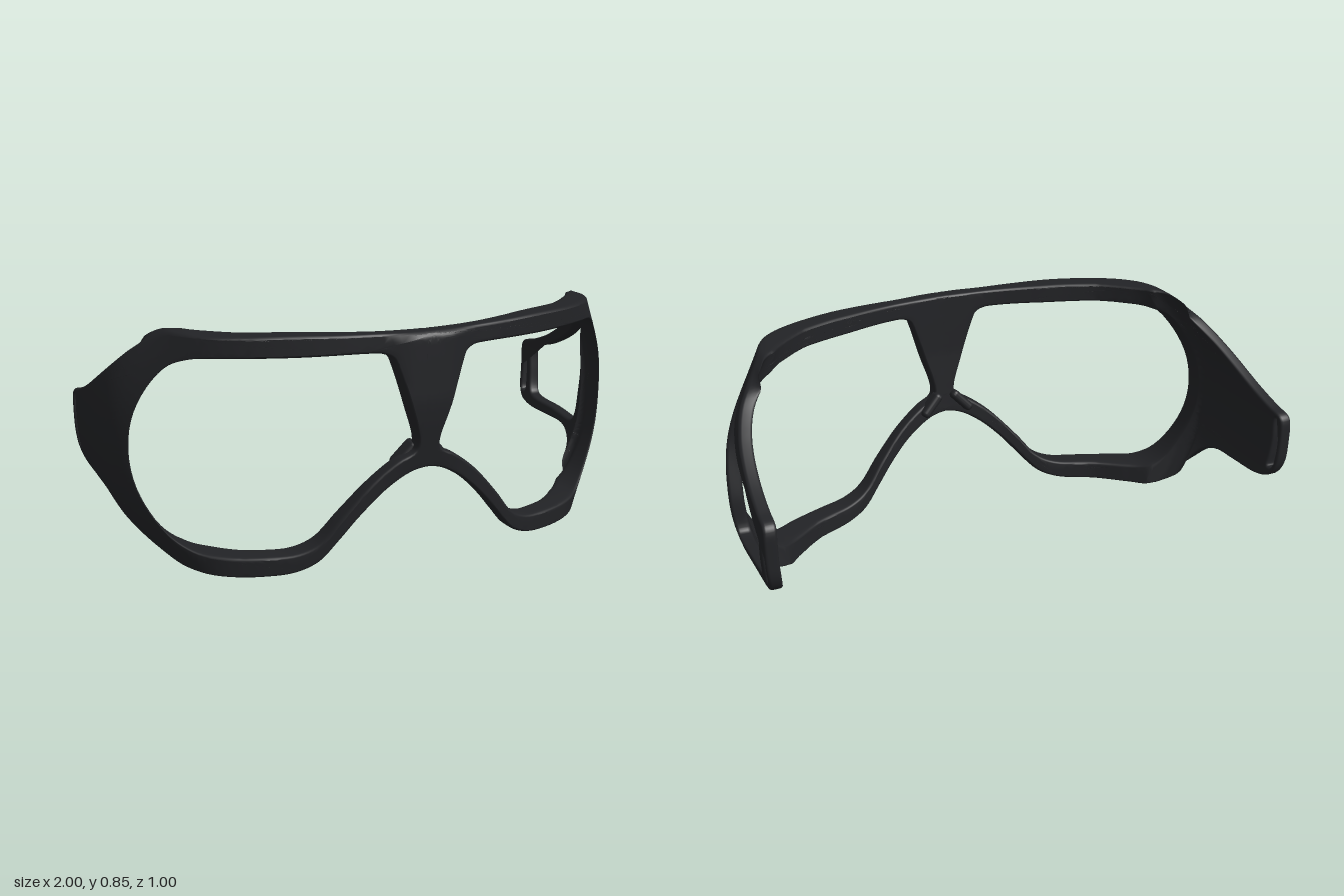
import * as THREE from 'three';
import { mergeVertices } from 'three/addons/utils/BufferGeometryUtils.js';
import { RoundedBoxGeometry } from 'three/addons/geometries/RoundedBoxGeometry.js';

const { smoothstep, lerp } = THREE.MathUtils;

// Plan curve of the outer face, wrapping from arm tip to arm tip
const half = [[0.2, 0.465], [0.4, 0.435], [0.6, 0.375], [0.75, 0.3], [0.88, 0.19],
  [0.96, 0.08], [0.99, 0], [1, -0.12], [1, -0.3], [1, -0.5]];
const plan = new THREE.CatmullRomCurve3([
  ...half.map(([x, z]) => new THREE.Vector3(-x, 0, z)).reverse(),
  new THREE.Vector3(0, 0, 0.47),
  ...half.map(([x, z]) => new THREE.Vector3(x, 0, z)),
], false, 'centripetal');
plan.arcLengthDivisions = 800;
const L = plan.getLength() / 2;
const along = (u) => THREE.MathUtils.clamp(0.5 + u / (2 * L), 0, 1);

// Distance along the curve at which x (rising) or z (falling) takes a value
function find(test) {
  let lo = 0, hi = L;
  for (let i = 0; i < 30; i++) {
    const mid = (lo + hi) / 2;
    if (test(plan.getPointAt(along(mid)))) lo = mid; else hi = mid;
  }
  return lo;
}
const byX = (list) => list.map(([x, y]) => [find((p) => p.x < x), y]);
const byZ = (list) => list.map(([z, y]) => [find((p) => p.z > z), y]);

// Smooth closed outline through a few points, always counter-clockwise
function loop(list) {
  const c = new THREE.CatmullRomCurve3(list.map(([u, y]) => new THREE.Vector3(u, y, 0)), true, 'centripetal');
  const pts = c.getPoints(list.length * 5).slice(0, -1).map((p) => new THREE.Vector2(p.x, p.y));
  return THREE.ShapeUtils.isClockWise(pts) ? pts.reverse() : pts;
}

// Halve the longest edge of each triangle until all are short enough to bend
function refine(geo, max, sign) {
  const a = geo.attributes.position, out = [], stack = [];
  const v = (i) => new THREE.Vector3().fromBufferAttribute(a, i);
  for (let i = 0; i < a.count; i += 3) stack.push([v(i), v(i + 1), v(i + 2)]);
  while (stack.length) {
    const t = stack.pop();
    const d = [0, 1, 2].map((i) => t[i].distanceTo(t[(i + 1) % 3]));
    const k = d.indexOf(Math.max(...d));
    if (d[k] <= max) {
      if (sign < 0) t.reverse(); // keeps faces outward once mirrored
      t.forEach((p) => out.push(p.x, p.y, p.z));
      continue;
    }
    const p = t[k], q = t[(k + 1) % 3], r = t[(k + 2) % 3];
    const m = p.clone().add(q).multiplyScalar(0.5);
    stack.push([p, m, r], [m, q, r]);
  }
  return new THREE.BufferGeometry().setAttribute('position', new THREE.Float32BufferAttribute(out, 3));
}

// Wall depth along the curve: slim bridge, deep outer corners, thin arms
const thick = [
  ...byX([[0, 0.045], [0.2, 0.06], [0.4, 0.088], [0.6, 0.1], [0.7, 0.13], [0.8, 0.145]]),
  ...byZ([[0.15, 0.085], [0.08, 0.068], [0, 0.052], [-0.1, 0.046], [-0.5, 0.045]])];
function thickness(u) {
  for (let i = 1; i < thick.length; i++) {
    const [a, ta] = thick[i - 1], [b, tb] = thick[i];
    if (u <= b) return lerp(ta, tb, (u - a) / (b - a));
  }
  return 0.045;
}

const DEPTH = 0.09, BEVEL = 0.02;

// Wrap a flat half round the plan curve, mirrored for the right side
function wrap(geo, sign) {
  const a = geo.attributes.position;
  for (let i = 0; i < a.count; i++) {
    const u = a.getX(i), y = a.getY(i);
    const w = (a.getZ(i) + BEVEL) / DEPTH - 1;
    const p = plan.getPointAt(along(u)), t = plan.getTangentAt(along(u));
    // walls run straight back at the front and square to the arms at the sides
    const n = new THREE.Vector3(-t.z, 0, t.x)
      .lerp(new THREE.Vector3(0, 0, 1), smoothstep(p.z, -0.03, 0.1)).normalize();
    // sides tuck in towards top and bottom, lower rim leans back
    const tuck = 1.45 * Math.abs(y - 0.43) ** 2.5 * (1 - smoothstep(p.z, 0, 0.4));
    const lean = 0.06 * Math.min(0, y - 0.6) * smoothstep(p.z, 0, 0.3);
    // bridge stands proud of the rim
    const bulge = 0.028 * (1 - smoothstep(Math.abs(u), 0.05, 0.2))
      * smoothstep(y, 0.25, 0.6) * (1 - smoothstep(y, 0.81, 0.86));
    const off = w * thickness(Math.abs(u)) + bulge * (1 + w);
    a.setXYZ(i, sign * (p.x + n.x * off - tuck), y, p.z + n.z * off + lean);
  }
  return geo;
}

export function createModel() {
  const group = new THREE.Group();
  group.name = 'goggleFrame';
  const material = new THREE.MeshStandardMaterial({ color: 0x222326 });

  // Outline of one half; it runs a little past the centre so the halves interlock
  const outline = loop([
    [-0.03, 0.834],
    ...byX([[0, 0.835], [0.15, 0.836], [0.3, 0.84], [0.45, 0.845], [0.6, 0.845], [0.76, 0.845]]),
    ...byZ([[0.24, 0.845], [0.15, 0.836], [0.08, 0.808], [0.01, 0.765], [-0.06, 0.71], [-0.16, 0.645],
      [-0.3, 0.573], [-0.42, 0.53], [-0.48, 0.515], [-0.496, 0.495], [-0.5, 0.4], [-0.495, 0.32],
      [-0.465, 0.27], [-0.4, 0.247], [-0.25, 0.24], [-0.13, 0.233], [-0.06, 0.2], [0, 0.14],
      [0.07, 0.075], [0.15, 0.03], [0.26, 0.007]]),
    ...byX([[0.7, 0], [0.57, 0], [0.46, 0.01], [0.38, 0.045], [0.31, 0.12], [0.24, 0.2],
      [0.15, 0.285], [0.06, 0.34], [0, 0.352]]),
    [-0.03, 0.35], [-0.032, 0.36], [-0.032, 0.6], [-0.032, 0.825],
  ]);
  const lens = byX([[0.17, 0.767], [0.22, 0.771], [0.45, 0.771], [0.7, 0.771], [0.79, 0.763], [0.87, 0.725],
    [0.925, 0.6], [0.943, 0.43], [0.925, 0.27], [0.875, 0.145], [0.8, 0.092], [0.7, 0.077], [0.55, 0.074],
    [0.45, 0.081], [0.38, 0.113], [0.3, 0.207], [0.2, 0.315], [0.11, 0.385], [0.05, 0.417],
    [0.042, 0.45], [0.08, 0.58], [0.125, 0.72], [0.14, 0.752]]);
  const strapSlot = byZ([[-0.448, 0.3], [-0.46, 0.298], [-0.472, 0.303], [-0.479, 0.35], [-0.481, 0.42],
    [-0.479, 0.495], [-0.468, 0.5], [-0.455, 0.497], [-0.454, 0.42], [-0.449, 0.35]]);
  const armWindow = byZ([[0.085, 0.75], [0.05, 0.735], [-0.05, 0.655], [-0.15, 0.595], [-0.3, 0.53],
    [-0.41, 0.502], [-0.424, 0.485], [-0.42, 0.4], [-0.405, 0.315], [-0.385, 0.295], [-0.22, 0.28],
    [-0.07, 0.268], [-0.052, 0.285], [-0.04, 0.4], [0, 0.55], [0.05, 0.66], [0.083, 0.73]]);

  // Only the left arm has a window
  const halves = [['leftFrame', 1, [lens, strapSlot, armWindow]], ['rightFrame', -1, [lens, strapSlot]]];
  for (const [name, sign, holes] of halves) {
    const shape = new THREE.Shape(outline);
    shape.holes = holes.map((h) => new THREE.Path(loop(h)));
    const flat = new THREE.ExtrudeGeometry(shape, {
      depth: DEPTH - 2 * BEVEL, bevelThickness: BEVEL, bevelSize: 0.009, bevelOffset: -0.009,
      bevelSegments: 3, curveSegments: 1,
    });
    const bent = mergeVertices(wrap(refine(flat, 0.035, sign), sign));
    bent.computeVertexNormals();
    const frame = new THREE.Mesh(bent, material);
    frame.name = name;
    group.add(frame);

    // Nose pad behind the bridge
    const pad = new THREE.Mesh(new RoundedBoxGeometry(0.036, 0.11, 0.06, 3, 0.016), material);
    pad.name = sign > 0 ? 'leftNosePad' : 'rightNosePad';
    pad.position.set(sign * 0.064, 0.395, 0.407);
    pad.rotation.set(0.15, 0, sign * 0.75);
    group.add(pad);
  }
  return group;
}
